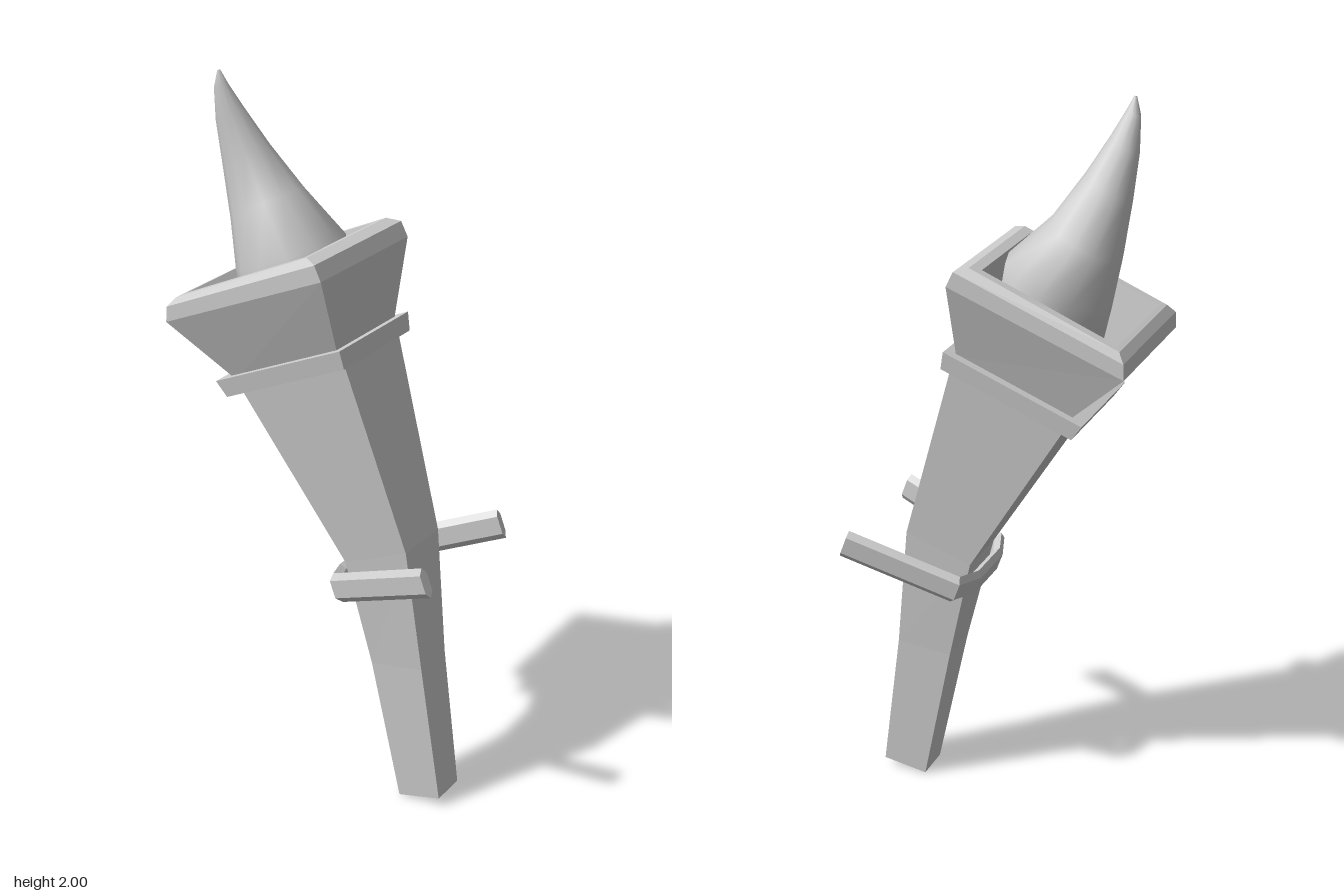
import * as THREE from 'three';

const Z0 = -0.006; // depth centre of the square parts

// Skin closed rings (counter-clockwise seen from the end of the loft), with end caps
function loft(name, rings, smooth = false) {
  const n = rings[0].length, index = [];
  for (let i = 0; i < rings.length - 1; i++) {
    for (let j = 0; j < n; j++) {
      const k = (j + 1) % n, a = i * n + j, b = i * n + k;
      index.push(a, b, b + n, a, b + n, a + n);
    }
  }
  const top = (rings.length - 1) * n;
  for (let j = 1; j < n - 1; j++) index.push(0, j + 1, j, top, top + j, top + j + 1);
  let geo = new THREE.BufferGeometry().setFromPoints(rings.flat());
  geo.setIndex(index);
  if (!smooth) geo = geo.toNonIndexed();
  geo.computeVertexNormals();
  const mesh = new THREE.Mesh(geo, new THREE.MeshStandardMaterial({ color: 0xcccccc, flatShading: !smooth }));
  mesh.name = name;
  return mesh;
}

// Tilted rectangle: left edge (lx, ly), right edge (rx, ry), half depth
const rect = ([lx, ly, rx, ry, hz]) => [
  new THREE.Vector3(lx, ly, Z0 + hz), new THREE.Vector3(rx, ry, Z0 + hz),
  new THREE.Vector3(rx, ry, Z0 - hz), new THREE.Vector3(lx, ly, Z0 - hz),
];

// Tilted oval: left and right ends, half depth, depth centre
const oval = ([lx, ly, rx, ry, hz, zc], sides = 12) =>
  Array.from({ length: sides }, (_, j) => {
    const a = (j / sides) * Math.PI * 2, t = 0.5 + 0.5 * Math.cos(a);
    return new THREE.Vector3(lx + (rx - lx) * t, ly + (ry - ly) * t, zc - Math.sin(a) * hz);
  });

// Sweep a six-sided bar along a path lying in the plane with normal v
function bar(name, path, v, halfWidth, halfHeight) {
  const profile = [[1, -0.6], [1, 0.6], [0, 1], [-1, 0.6], [-1, -0.6], [0, -1]];
  const rings = path.map((p, i) => {
    const t = new THREE.Vector3();
    if (i > 0) t.add(p.clone().sub(path[i - 1]).normalize());
    if (i < path.length - 1) t.add(path[i + 1].clone().sub(p).normalize());
    const miter = i > 0 && i < path.length - 1 ? 2 / t.length() : 1;
    const side = v.clone().cross(t.normalize()).normalize();
    return profile.map(([s, h]) =>
      p.clone().addScaledVector(side, s * halfWidth * miter).addScaledVector(v, h * halfHeight));
  });
  return loft(name, rings);
}

export function createModel() {
  const torch = new THREE.Group();
  torch.name = 'torch';

  // Leaning, tapered square handle
  torch.add(loft('handle', [
    [0.225, 0.0, 0.35, 0.025, 0.055],
    [0.14, 0.4, 0.295, 0.42, 0.067],
    [0.068, 0.7, 0.255, 0.77, 0.09],
    [-0.235, 1.18, 0.09, 1.31, 0.145],
  ].map(rect)));

  // Collar below the bowl
  torch.add(loft('collar', [
    [-0.25, 1.145, 0.113, 1.293, 0.174],
    [-0.28, 1.187, 0.103, 1.343, 0.181],
  ].map(rect)));

  // Flared bowl with a bevelled rim and a hollow inside
  torch.add(loft('bowl', [
    [-0.235, 1.19, 0.078, 1.325, 0.15],
    [-0.405, 1.345, 0.075, 1.537, 0.225],
    [-0.403, 1.388, 0.055, 1.578, 0.224],
    [-0.385, 1.412, 0.02, 1.587, 0.203],
    [-0.372, 1.418, -0.005, 1.576, 0.175],
    [-0.225, 1.24, 0.05, 1.36, 0.125],
  ].map(rect)));

  // Flame curling over to a point
  torch.add(loft('flame', [
    [-0.215, 1.24, 0.02, 1.345, 0.1, -0.005],
    [-0.27, 1.34, 0.01, 1.46, 0.145, -0.005],
    [-0.298, 1.46, -0.012, 1.575, 0.155, -0.008],
    [-0.325, 1.59, -0.135, 1.69, 0.105, -0.012],
    [-0.342, 1.74, -0.215, 1.805, 0.06, 0.012],
    [-0.35, 1.86, -0.272, 1.9, 0.035, 0.035],
    [-0.346, 1.95, -0.307, 1.965, 0.016, 0.052],
    [-0.333, 1.998, -0.325, 2.0, 0.004, 0.057],
  ].map((s) => oval(s)), true));

  // Forked wall bracket wrapped around the handle
  const half = [[0.385, 0.768, 0.215], [0.085, 0.655, 0.157], [0.06, 0.645, 0.08]];
  const path = [
    ...half.map(([x, y, z]) => new THREE.Vector3(x, y, Z0 + z)),
    ...half.slice().reverse().map(([x, y, z]) => new THREE.Vector3(x, y, Z0 - z)),
  ];
  torch.add(bar('wallBracket', path, new THREE.Vector3(-0.352, 0.936, 0), 0.014, 0.042));

  return torch;
}
